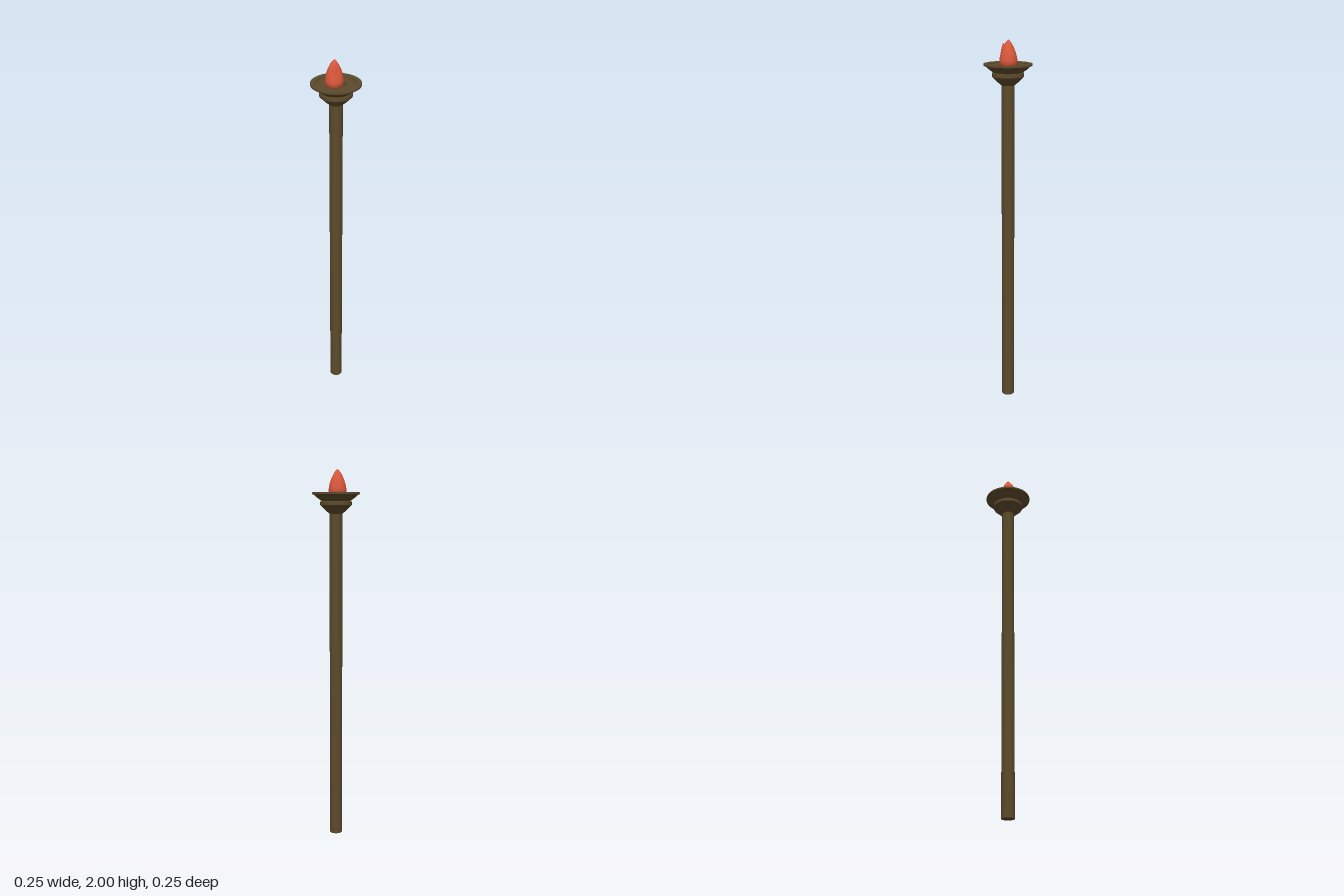
import * as THREE from 'three';
import { toCreasedNormals } from 'three/addons/utils/BufferGeometryUtils.js';

const wood = new THREE.MeshStandardMaterial({ color: 0x5c4a2c });
const fire = new THREE.MeshStandardMaterial({ color: 0xd9583c });

// Turned part from [radius, height] pairs listed bottom to top
function turned(name, profile, material, crease = 0.5) {
  const points = profile.map(([r, y]) => new THREE.Vector2(r, y));
  const mesh = new THREE.Mesh(toCreasedNormals(new THREE.LatheGeometry(points, 48), crease), material);
  mesh.name = name;
  return mesh;
}

// Teardrop tongue of flame with a rounded foot; the tip leans by (leanX, leanZ)
function tongue(name, radius, height, x, y, z, leanX, leanZ) {
  const curve = new THREE.SplineCurve([
    [0, 0], [0.75, 0.03], [0.97, 0.14], [1, 0.27], [0.86, 0.5], [0.56, 0.75], [0.22, 0.93], [0, 1],
  ].map(([r, h]) => new THREE.Vector2(r * radius, h * height)));
  const points = curve.getPoints(28);
  points.forEach((p) => { p.x = Math.max(0, p.x); });
  const geometry = new THREE.LatheGeometry(points, 32);
  const pos = geometry.attributes.position;
  for (let i = 0; i < pos.count; i++) {
    const t = (pos.getY(i) / height) ** 2;
    pos.setX(i, pos.getX(i) + leanX * t);
    pos.setZ(i, pos.getZ(i) + leanZ * t);
  }
  geometry.computeVertexNormals();
  const mesh = new THREE.Mesh(geometry, fire);
  mesh.name = name;
  mesh.position.set(x, y, z);
  return mesh;
}

export function createModel() {
  const model = new THREE.Group();
  model.name = 'torchStand';

  // Long round pole
  const pole = new THREE.Mesh(new THREE.CylinderGeometry(0.034, 0.034, 1.78, 40), wood);
  pole.name = 'pole';
  pole.position.y = 0.89;
  model.add(pole);

  // Flared collar below the dish
  model.add(turned('collar', [
    [0, 1.77], [0.034, 1.77], [0.055, 1.787], [0.08, 1.812], [0.083, 1.815],
    [0.083, 1.833], [0.068, 1.837], [0, 1.837],
  ], wood));

  // Wide dish with a stepped recess in its top
  model.add(turned('dish', [
    [0, 1.833], [0.072, 1.833], [0.085, 1.842], [0.1, 1.853], [0.115, 1.866], [0.126, 1.871],
    [0.126, 1.88], [0.1, 1.88], [0.098, 1.872], [0.051, 1.872], [0.05, 1.86], [0, 1.86],
  ], wood));

  // Flame: one main body and two small side tongues
  const flame = new THREE.Group();
  flame.name = 'flame';
  flame.add(
    tongue('mainFlame', 0.046, 0.14, -0.008, 1.86, 0, 0, 0),
    tongue('frontTongue', 0.026, 0.12, -0.006, 1.864, 0.016, 0.002, 0.009),
    tongue('backTongue', 0.024, 0.108, 0.004, 1.864, -0.01, 0.006, -0.006),
  );
  model.add(flame);
  return model;
}
